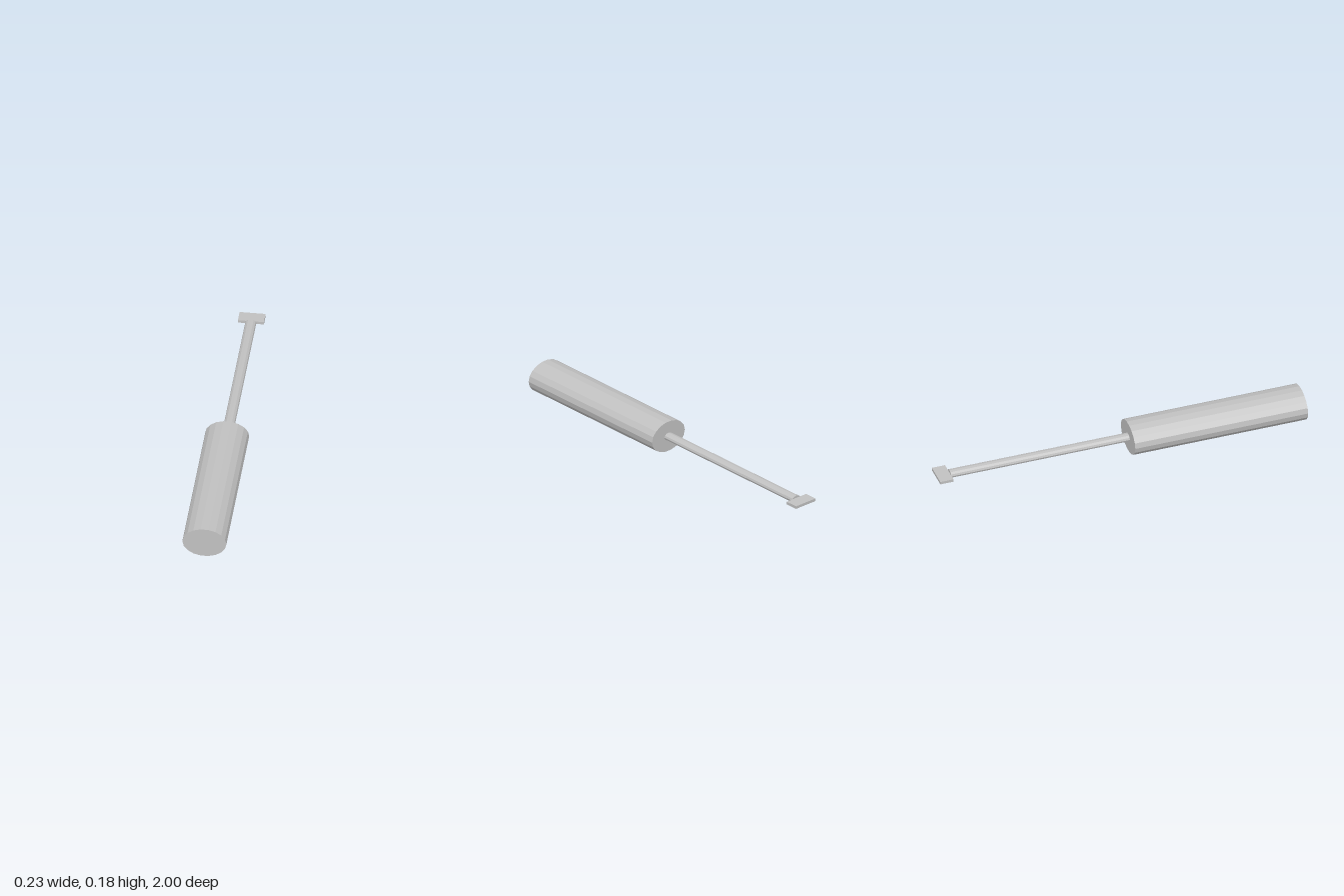
import * as THREE from 'three';

// Faceted elliptical bar lying along z, from zBack to zFront
function bar(name, rx, ry, zBack, zFront, sides, material) {
  const geometry = new THREE.CylinderGeometry(1, 1, zFront - zBack, sides)
    .rotateY(Math.PI / 2)
    .rotateX(Math.PI / 2)
    .scale(rx, ry, 1)
    .translate(0, 0, (zFront + zBack) / 2);
  const mesh = new THREE.Mesh(geometry, material);
  mesh.name = name;
  return mesh;
}

export function createModel() {
  const grey = new THREE.MeshStandardMaterial({ color: 0xc0c0c0, flatShading: true });
  grey.name = 'plain grey';

  const tool = new THREE.Group();
  tool.name = 'screwdriver';

  // Thick handle and slim shaft share one axis
  tool.add(bar('handle', 0.115, 0.0853, 0.052, 0.999, 18, grey));
  tool.add(bar('shaft', 0.029, 0.0205, -0.927, 0.06, 12, grey));

  // Flat blade across the end of the shaft
  const blade = new THREE.Mesh(new THREE.BoxGeometry(0.136, 0.015, 0.072), grey);
  blade.name = 'blade';
  blade.position.set(0, 0.001, -0.964);
  tool.add(blade);

  // Slight tilt, handle end raised
  tool.rotation.x = -0.0085;
  tool.position.y = 0.084;

  const model = new THREE.Group();
  model.add(tool);
  return model;
}
